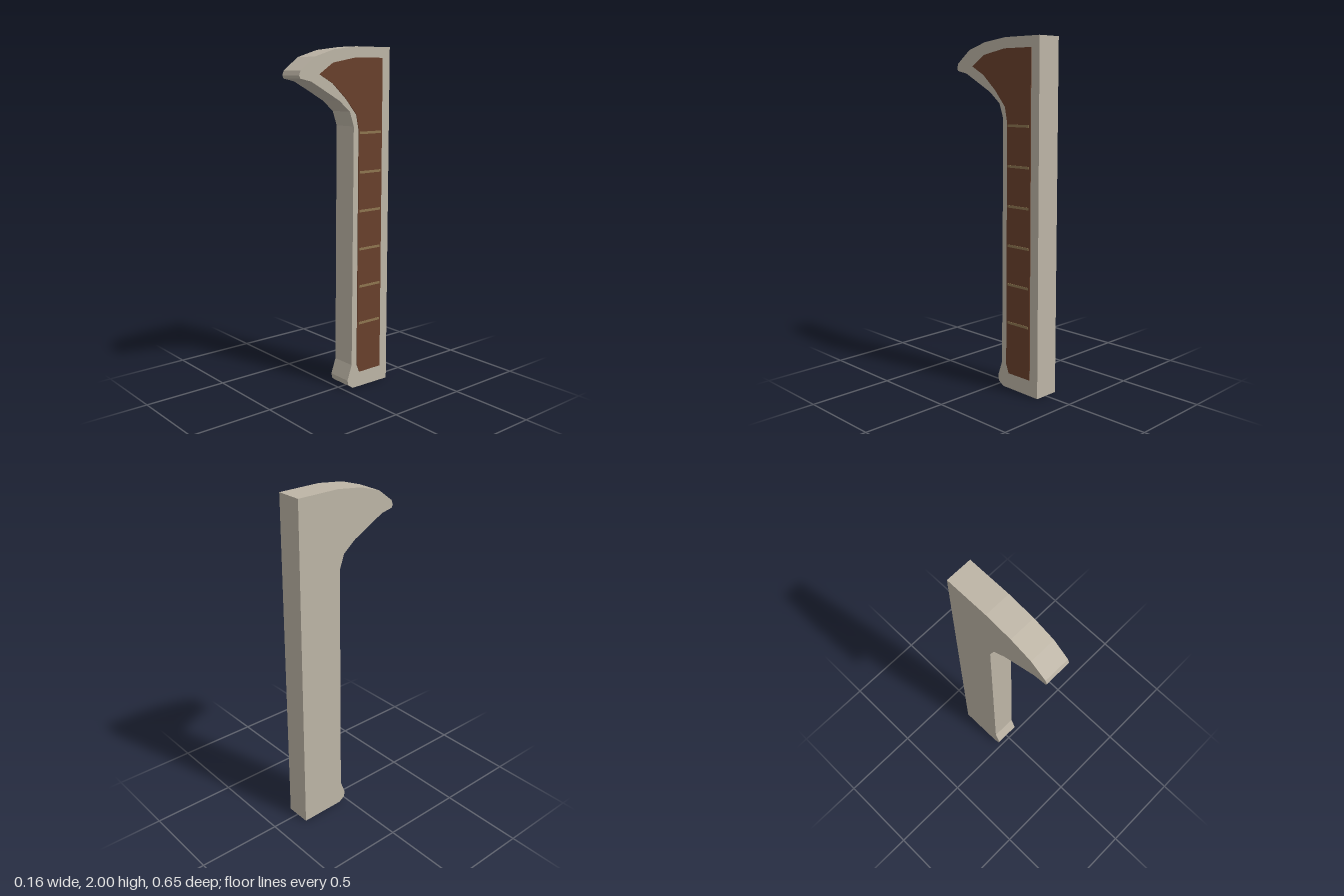
import * as THREE from 'three';

const material = (name, color) => {
  const m = new THREE.MeshStandardMaterial({ color });
  m.name = name;
  return m;
};

// Extrude a side profile of [z, y] points from x0 to x1
function slab(name, points, x0, x1, mat) {
  const shape = new THREE.Shape(points.map(([z, y]) => new THREE.Vector2(-z, y)));
  const geometry = new THREE.ExtrudeGeometry(shape, { depth: x1 - x0, bevelEnabled: false });
  geometry.rotateY(Math.PI / 2).translate(x0, 0, 0);
  const mesh = new THREE.Mesh(geometry, mat);
  mesh.name = name;
  return mesh;
}

export function createModel() {
  const group = new THREE.Group();
  group.name = 'hookedGrip';
  const stone = material('pale stone', 0xbdb5a6);
  const leather = material('brown leather', 0x69402c);
  const brass = material('dull brass', 0x8e7650);

  // Body: straight back, hooked top and flared foot
  group.add(slab('body', [
    [-0.325, 0], [-0.325, 2], [-0.07, 2], [0.09, 1.98], [0.22, 1.94],
    [0.315, 1.868], [0.325, 1.842], [0.317, 1.825], [0.246, 1.81],
    [0.167, 1.768], [0.05, 1.705], [-0.026, 1.643], [-0.055, 1.56],
    [-0.045, 0.15], [-0.013, 0.06], [-0.02, 0.028], [-0.055, 0.004],
  ], -0.08, 0.071, stone));

  // Inlaid panel following the body outline
  group.add(slab('panel', [
    [-0.267, 0.095], [-0.267, 1.94], [-0.07, 1.94], [0.095, 1.91],
    [0.19, 1.848], [0.1, 1.8], [0.005, 1.715], [-0.072, 1.625],
    [-0.09, 1.54], [-0.083, 0.145], [-0.103, 0.095],
  ], 0.07, 0.075, leather));

  // Evenly spaced bands across the panel
  for (let i = 0; i < 6; i++) {
    const band = new THREE.Mesh(new THREE.BoxGeometry(0.006, 0.014, 0.16), brass);
    band.name = `band${i + 1}`;
    band.position.set(0.075, 0.4 + i * 0.2245, -0.176);
    group.add(band);
  }
  return group;
}
